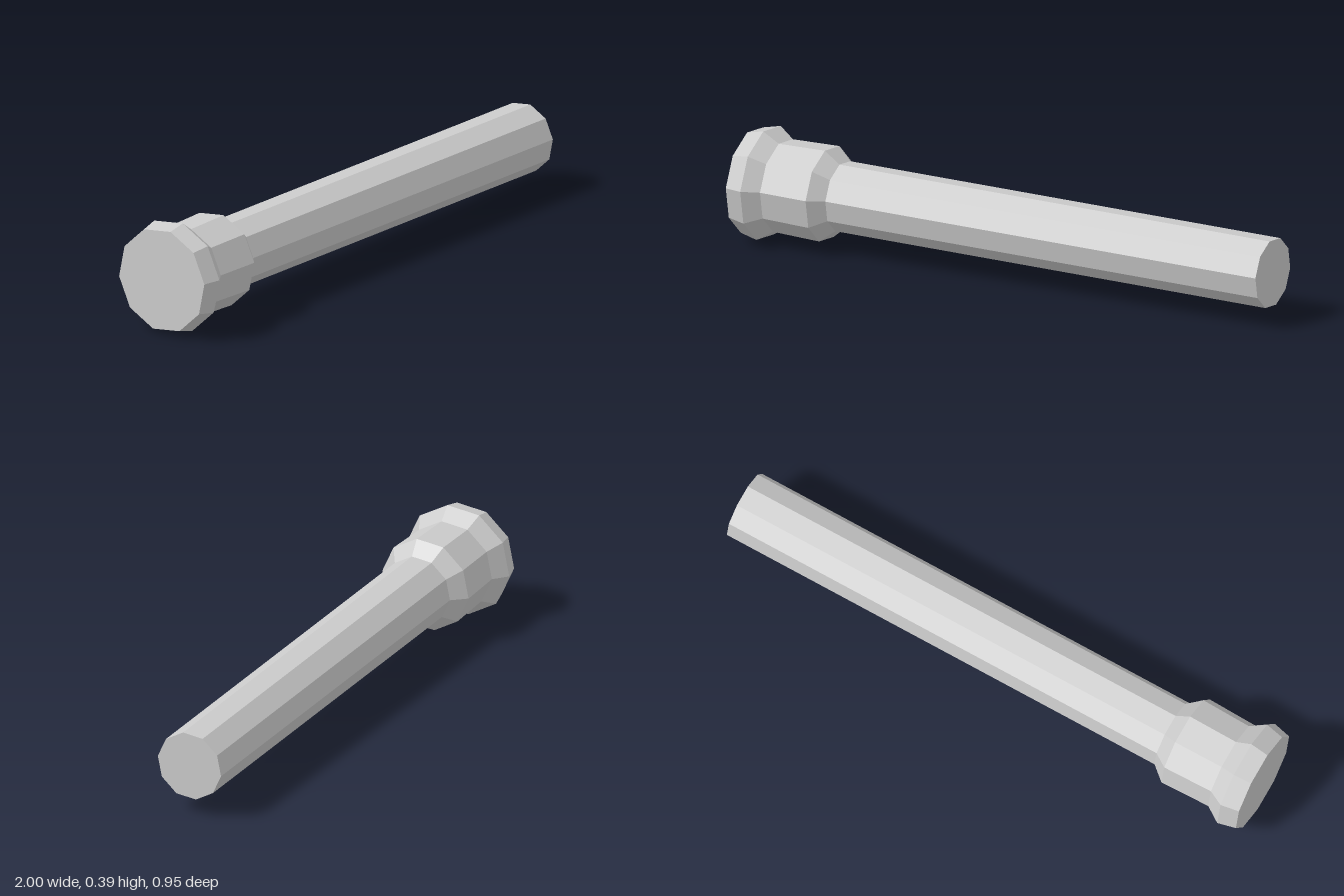
import * as THREE from 'three';

const SIDES = 10;
const TWIST = THREE.MathUtils.degToRad(11.4);

// Ten-sided turned part; profile rows are [radius, distance along the axis].
function turnedPart(name, profile) {
  const points = profile.map(([r, d]) => new THREE.Vector2(r, d));
  const geometry = new THREE.LatheGeometry(points, SIDES, TWIST, Math.PI * 2);
  const material = new THREE.MeshStandardMaterial({ color: 0xcccccc, flatShading: true, side: THREE.DoubleSide });
  const mesh = new THREE.Mesh(geometry, material);
  mesh.name = name;
  return mesh;
}

export function createModel() {
  const headCentre = new THREE.Vector3(-0.94, 0.194, 0.306);
  const tailCentre = new THREE.Vector3(0.96, 0.1785, -0.3625);
  const length = headCentre.distanceTo(tailCentre);

  const torch = new THREE.Group();
  torch.name = 'torch';

  // Flared head: flat front, rim, collar and tapered neck
  torch.add(turnedPart('head', [
    [0, 0], [0.182, 0], [0.197, 0.064], [0.16, 0.12], [0.165, 0.299], [0.121, 0.351],
  ]));

  // Straight handle with a closed end
  torch.add(turnedPart('handle', [[0.121, 0.351], [0.121, length], [0, length]]));

  // Lay the torch along its axis: local y runs head to tail, local z points up
  const axis = tailCentre.clone().sub(headCentre).normalize();
  const side = new THREE.Vector3().crossVectors(axis, new THREE.Vector3(0, 1, 0)).normalize();
  const up = new THREE.Vector3().crossVectors(side, axis);
  torch.quaternion.setFromRotationMatrix(new THREE.Matrix4().makeBasis(side, axis, up));
  torch.position.copy(headCentre);

  const model = new THREE.Group();
  model.name = 'model';
  model.add(torch);
  return model;
}
